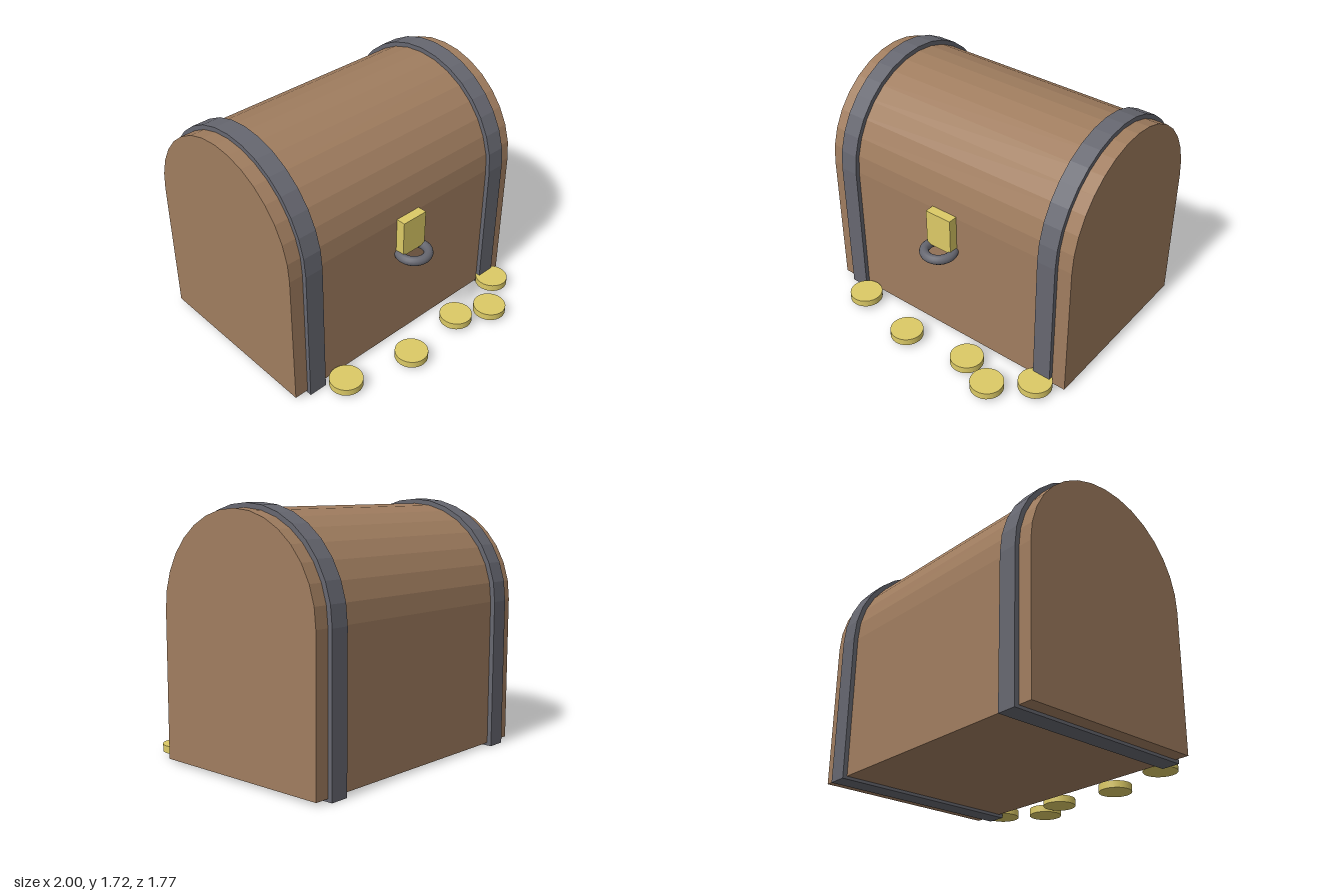
import * as THREE from 'three';

const wood = new THREE.MeshStandardMaterial({ color: 0xa07d5f, flatShading: true });
const iron = new THREE.MeshStandardMaterial({ color: 0x666770, flatShading: true });
const ringIron = new THREE.MeshStandardMaterial({ color: 0x666770 });
const gold = new THREE.MeshStandardMaterial({ color: 0xdcca66 });

const CENTER_Z = -0.19; // middle of the chest, front to back
const SPRING_Y = 1.02;  // height where the rounded lid starts

// Slab with straight sides and a 16-facet half-round top, running along x
function archSlab(halfDepth, bottomY, width) {
  const shape = new THREE.Shape();
  shape.moveTo(-halfDepth, bottomY);
  shape.lineTo(halfDepth, bottomY);
  for (let i = 0; i <= 16; i++) {
    const a = (i / 16) * Math.PI;
    shape.lineTo(halfDepth * Math.cos(a), SPRING_Y + halfDepth * Math.sin(a));
  }
  shape.closePath();
  return new THREE.ExtrudeGeometry(shape, { depth: width, bevelEnabled: false })
    .translate(0, 0, -width / 2)
    .rotateY(Math.PI / 2);
}

export function createModel() {
  const chest = new THREE.Group();
  chest.name = 'treasureChest';

  function add(name, geometry, material, x, y, z) {
    const mesh = new THREE.Mesh(geometry, material);
    mesh.name = name;
    mesh.position.set(x, y, z);
    chest.add(mesh);
    return mesh;
  }

  // Wooden body with its rounded lid
  add('body', archSlab(0.665, 0.02, 2), wood, 0, 0, CENTER_Z);

  // Iron bands wrapped all the way round
  const bandGeometry = archSlab(0.697, 0, 0.133);
  add('leftBand', bandGeometry, iron, 0.833, 0, CENTER_Z);
  add('rightBand', bandGeometry, iron, -0.833, 0, CENTER_Z);

  // Lock plate and the ring hanging flat from it
  add('lockPlate', new THREE.BoxGeometry(0.2, 0.266, 0.067), gold, 0, 0.9, 0.508);
  const ring = add('lockRing', new THREE.TorusGeometry(0.1, 0.033, 12, 32), ringIron, 0, 0.75, 0.54);
  ring.rotation.x = Math.PI / 2;

  // Coins scattered in front
  const coinGeometry = new THREE.CylinderGeometry(0.116, 0.116, 0.05, 32);
  const coinSpots = [[-0.67, 0.605], [-0.17, 0.72], [0.33, 0.67], [0.58, 0.77], [0.83, 0.57]];
  coinSpots.forEach(([x, z], i) => add(`coin${i + 1}`, coinGeometry, gold, x, 0.053, z));

  return chest;
}
